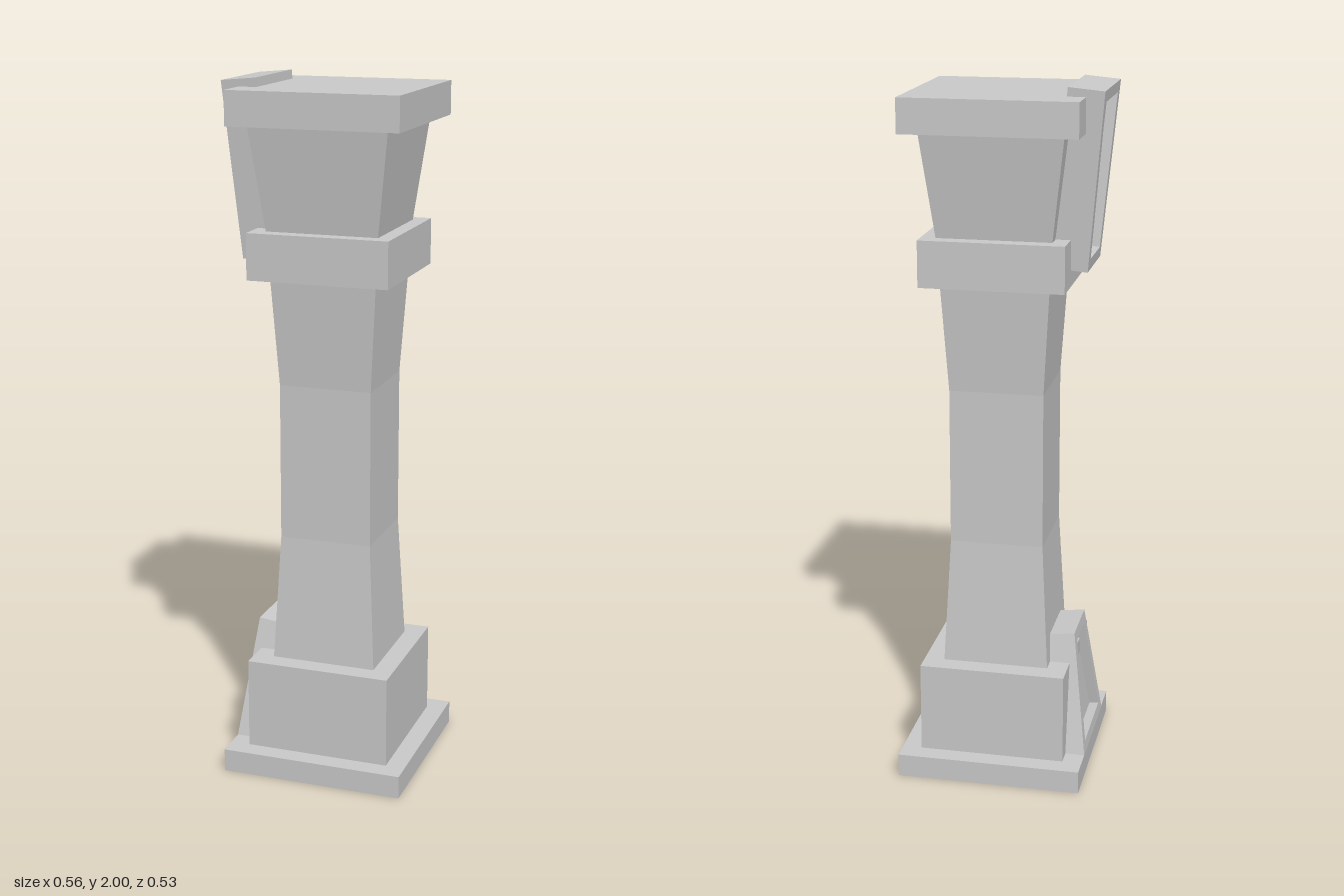
import * as THREE from 'three';

const material = new THREE.MeshStandardMaterial({ color: 0xcccccc, flatShading: true });
const AXIS = 0.0125; // x of the column's centre line

function add(parent, name, geometry) {
  const mesh = new THREE.Mesh(geometry, material);
  mesh.name = name;
  parent.add(mesh);
  return mesh;
}

// Square section between two heights, given half-widths at the bottom and top
function block(parent, name, y0, y1, bottom, top = bottom) {
  const g = new THREE.CylinderGeometry(top * Math.SQRT2, bottom * Math.SQRT2, y1 - y0, 4);
  g.rotateY(Math.PI / 4);
  add(parent, name, g).position.set(AXIS, (y0 + y1) / 2, 0);
}

// Corners of an upright trapezoid, counter-clockwise
function trapezoid(y0, y1, bottom, top) {
  return [[-bottom, y0], [bottom, y0], [top, y1], [-top, y1]].map(([x, y]) => new THREE.Vector2(x, y));
}

// Leaning trapezoid plate with a recessed panel, facing -x; origin at its outer bottom edge
function plate(parent, name, { x, y, tilt, height, bottom, top, depth }) {
  const rim = 0.032, recess = 0.028;
  const group = new THREE.Group();
  group.name = name;
  group.position.set(x, y, 0);
  group.rotation.z = tilt;
  parent.add(group);

  const halfAt = (h) => bottom + (top - bottom) * h / height - rim;
  const inner = trapezoid(rim, height - rim, halfAt(rim), halfAt(height - rim));
  const outline = new THREE.Shape(trapezoid(0, height, bottom, top));
  outline.holes.push(new THREE.Path(inner));

  const solid = (shape, d) => new THREE.ExtrudeGeometry(shape, { depth: d, bevelEnabled: false })
    .rotateY(-Math.PI / 2).translate(depth, 0, 0);
  add(group, name + 'Frame', solid(outline, depth));
  add(group, name + 'Panel', solid(new THREE.Shape(inner), depth - recess));
}

export function createModel() {
  const model = new THREE.Group();
  model.name = 'column';

  // Base
  block(model, 'baseSlab', 0, 0.067, 0.267);
  block(model, 'plinth', 0.067, 0.332, 0.211);

  // Waisted shaft
  block(model, 'shaftLower', 0.332, 0.7, 0.153, 0.134);
  block(model, 'shaftMiddle', 0.7, 1.15, 0.134);
  block(model, 'shaftUpper', 1.15, 1.457, 0.134, 0.153);

  // Head
  block(model, 'collar', 1.457, 1.588, 0.203);
  block(model, 'capital', 1.588, 1.878, 0.161, 0.198);
  block(model, 'capSlab', 1.878, 1.974, 0.244);

  // Leaning ornament plates on one side
  plate(model, 'upperPlate', {
    x: -0.237, y: 1.499, tilt: 0.092, height: 0.493, bottom: 0.11, top: 0.141, depth: 0.1,
  });
  plate(model, 'lowerPlate', {
    x: -0.255, y: 0.065, tilt: -0.128, height: 0.358, bottom: 0.163, top: 0.088, depth: 0.08,
  });

  return model;
}
